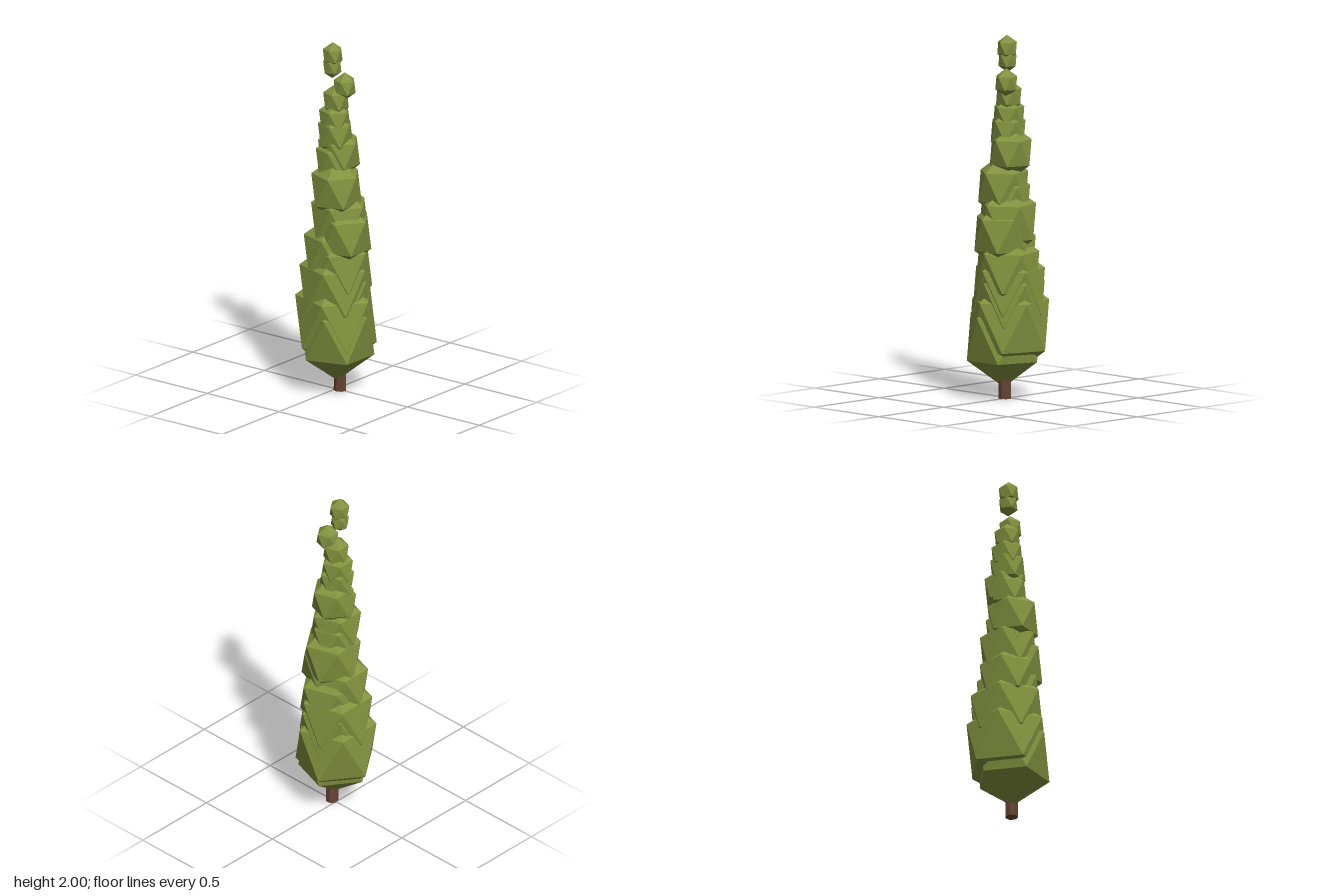
import * as THREE from 'three';

export function createModel() {
  const tree = new THREE.Group();
  tree.name = 'cypress';

  const leaf = new THREE.MeshStandardMaterial({ color: 0x83923f });
  leaf.name = 'leaf green';
  const bark = new THREE.MeshStandardMaterial({ color: 0x664534 });
  bark.name = 'bark brown';

  // trunk: low-sided post, mostly hidden in the foliage
  const trunkGeo = new THREE.CylinderGeometry(0.032, 0.036, 0.3, 7).toNonIndexed();
  trunkGeo.computeVertexNormals();
  const trunk = new THREE.Mesh(trunkGeo, bark);
  trunk.name = 'trunk';
  trunk.position.set(0.03, 0.15, 0);
  tree.add(trunk);

  // icosahedron standing on a corner, a ring corner towards +x, ring radius 1, stretched upwards
  const clumpGeo = new THREE.IcosahedronGeometry(1, 0);
  clumpGeo.rotateZ(-Math.atan(2 / (1 + Math.sqrt(5))));
  const ring = 2 / Math.sqrt(5);
  clumpGeo.scale(1 / ring, 1.2 / ring, 1 / ring);
  clumpGeo.toNonIndexed?.call;
  clumpGeo.computeVertexNormals();

  // foliage clumps from bottom to top: x, y, z, ring radius
  const clumps = [
    [0.021, 0.333, 0.017, 0.204],
    [0, 0.407, 0, 0.223],
    [0.005, 0.53, -0.01, 0.195],
    [0, 0.595, 0, 0.2],
    [0.02, 0.705, -0.01, 0.176],
    [-0.015, 0.8, 0.02, 0.152],
    [0.055, 0.91, 0, 0.15],
    [0.02, 0.98, -0.01, 0.158],
    [0.01, 1.1, 0, 0.125],
    [0.021, 1.168, 0.022, 0.138],
    [-0.005, 1.325, 0.01, 0.1],
    [0.005, 1.36, -0.02, 0.115],
    [0, 1.473, 0.005, 0.096],
    [-0.005, 1.555, 0.005, 0.086],
    [0, 1.665, 0, 0.07],
    [0.042, 1.745, -0.023, 0.06],
    [-0.01, 1.86, 0.02, 0.05],
    [-0.007, 1.928, 0.02, 0.054],
  ];
  const foliage = new THREE.Group();
  foliage.name = 'foliage';
  clumps.forEach(([x, y, z, r], i) => {
    const clump = new THREE.Mesh(clumpGeo, leaf);
    clump.name = `foliageClump${i + 1}`;
    clump.position.set(x, y, z);
    clump.scale.setScalar(r);
    foliage.add(clump);
  });
  tree.add(foliage);

  return tree;
}
